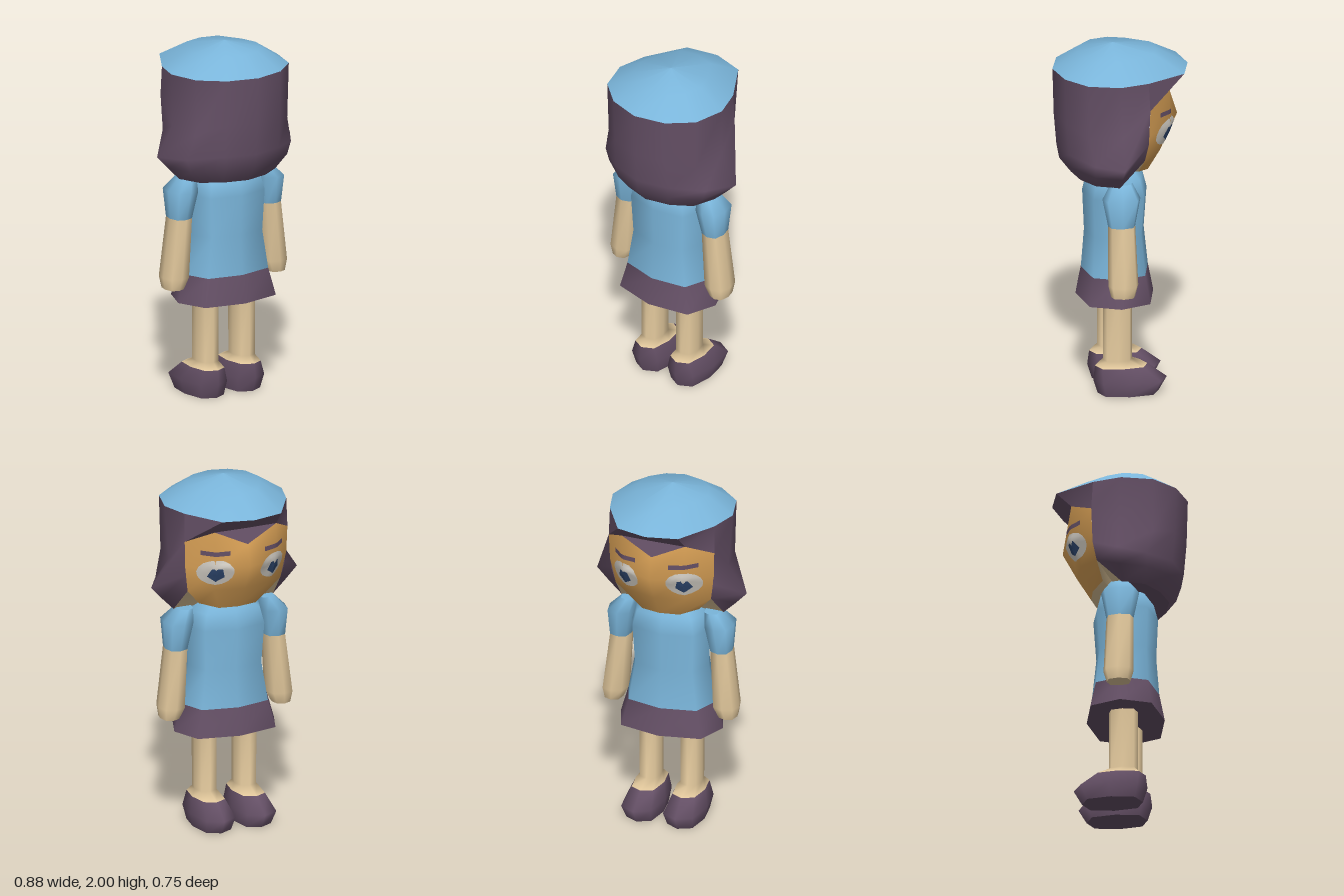
import * as THREE from 'three';
import { toCreasedNormals } from 'three/addons/utils/BufferGeometryUtils.js';

const paint = (name, color, side = THREE.FrontSide) => {
  const m = new THREE.MeshStandardMaterial({ color, side });
  m.name = name;
  return m;
};

// Surface through columns of points (top to bottom, counterclockwise seen from above)
function sheet(columns, closed = false) {
  const rows = columns[0].length, n = columns.length, index = [];
  for (let j = 0; j < (closed ? n : n - 1); j++) {
    for (let i = 0; i < rows - 1; i++) {
      const a = j * rows + i, b = ((j + 1) % n) * rows + i;
      index.push(a, a + 1, b, b, a + 1, b + 1);
    }
  }
  const g = new THREE.BufferGeometry();
  g.setAttribute('position', new THREE.Float32BufferAttribute(columns.flat(2), 3));
  g.setIndex(index);
  g.computeVertexNormals();
  return g;
}

// Triangles from a centre to a line of points
function fan(center, ring, closed = false) {
  const pts = closed ? [...ring, ring[0]] : ring;
  return sheet(pts.map((p) => [center, p])).toNonIndexed();
}

// Columns listed from the centre line outward, completed on the other side
const flip = ([x, y, z]) => [-x, y, z];
const mirrorCols = (half) => [...half.slice(1).reverse().map((c) => c.map(flip)), ...half];
const mirrorPts = (half) => [...half.slice(1).reverse().map(flip), ...half];

// Eight-sided boxy ring: y, half width, half depth, centre x, centre z
function ring([y, rx, rz, cx, cz]) {
  return Array.from({ length: 8 }, (_, k) => {
    const t = (k * Math.PI) / 4, f = k % 2 ? 1.1 : 1;
    return [cx + rx * f * Math.sin(t), y, cz + rz * f * Math.cos(t)];
  });
}

export function createModel() {
  const root = new THREE.Group();
  const D = THREE.DoubleSide;
  const blue = paint('blue cloth', 0x7ab5da);
  const purple = paint('dark purple', 0x655066, D);
  const skin = paint('skin', 0xe2c89c, D);
  const tan = paint('warm face', 0xdca357);
  const white = paint('eye white', 0xd8d3ca, D);
  const navy = paint('iris navy', 0x2f4870, D);

  const add = (name, geo, mat, parent = root) => {
    const mesh = new THREE.Mesh(geo, mat);
    mesh.name = name;
    parent.add(mesh);
    return mesh;
  };

  // Stack of rings from top to bottom with optional flat ends
  function loft(name, levels, mat, parent, top, bottom) {
    const rings = levels.map(ring);
    add(name, sheet(rings[0].map((_, k) => rings.map((r) => r[k])), true), mat, parent);
    const end = (l, r, label) => add(name + label, fan([l[3], l[0], l[4]], r, true), mat, parent);
    if (top) end(levels[0], rings[0], 'Top');
    if (bottom) end(levels.at(-1), [...rings.at(-1)].reverse(), 'Bottom');
  }

  // Torso and skirt
  const body = new THREE.Group();
  body.name = 'body';
  root.add(body);
  loft('shirt', [[1.285, 0.15, 0.1, 0, 0.02], [1.24, 0.205, 0.155, 0, 0.03], [1.15, 0.23, 0.178, 0, 0.03],
    [0.92, 0.215, 0.165, 0, 0.033], [0.7, 0.255, 0.185, 0, 0.03]], blue, body, true);
  loft('skirt', [[0.7, 0.255, 0.185, 0, 0.03], [0.545, 0.3, 0.215, 0, 0.03]], purple, body, false, true);
  loft('neck', [[1.33, 0.09, 0.08, 0, 0], [1.25, 0.09, 0.08, 0, 0]], tan, body);

  // Arms and legs
  for (const s of [1, -1]) {
    const side = s > 0 ? 'left' : 'right';
    const arm = new THREE.Group(), leg = new THREE.Group();
    arm.name = side + 'Arm';
    leg.name = side + 'Leg';
    root.add(arm, leg);
    const cuff = [1.035, 0.06, 0.075, s * 0.295, 0.03];
    loft('sleeve', [[1.265, 0.045, 0.06, s * 0.245, 0.025], [1.19, 0.08, 0.105, s * 0.285, 0.03], cuff], blue, arm, true);
    loft('forearm', [cuff, [0.7, 0.072, 0.083, s * 0.325, 0.025], [0.635, 0.05, 0.066, s * 0.335, 0.027]], skin, arm, false, true);
    const shoeTop = [0.16, 0.083, 0.145, s * 0.12, 0.008];
    loft('shin', [[0.6, 0.06, 0.08, s * 0.12, 0.03], [0.195, 0.058, 0.08, s * 0.12, 0.03], shoeTop], skin, leg);
    loft('shoe', [shoeTop, [0.08, 0.112, 0.203, s * 0.123, -0.04], [0, 0.095, 0.168, s * 0.12, -0.03]], purple, leg, false, true);
  }

  // Head
  const head = new THREE.Group();
  head.name = 'head';
  root.add(head);

  // Hair rim from the back centre round to the front centre
  const rim = [[0, 1.86, 0.372], [0.177, 1.86, 0.327], [0.307, 1.86, 0.215], [0.353, 1.86, 0.042],
    [0.307, 1.86, -0.118], [0.177, 1.86, -0.333], [0, 1.86, -0.375]];

  // Domed cap
  const crown = [0, 2, 0.04];
  const mid = ([x, , z]) => [x * 0.58, 1.955, 0.04 + (z - 0.04) * 0.58];
  const fullRim = [...mirrorPts(rim.slice(0, 6)), rim[6]];
  add('cap', sheet(fullRim.map((p) => [crown, mid(p), p]), true), blue, head);

  // Hair over the back and sides, flaring into two side locks
  const corner = [0.31, 1.7, -0.127], cheek = [0.28, 1.4, -0.1], tip = [0.3, 1.255, 0.04];
  const hair = [
    [rim[0], [0, 1.6, 0.365], [0, 1.42, 0.35], [0, 1.34, 0.335], [0, 1.255, 0.27]],
    [rim[1], [0.175, 1.6, 0.32], [0.18, 1.42, 0.305], [0.17, 1.34, 0.29], [0.14, 1.255, 0.235]],
    [rim[2], [0.3, 1.55, 0.21], [0.345, 1.4, 0.18], [0.32, 1.33, 0.18], [0.25, 1.255, 0.165]],
    [rim[3], [0.335, 1.56, 0.025], [0.44, 1.4, 0.03], [0.375, 1.33, 0.035], tip],
    [rim[4], corner, [0.3, 1.5, -0.12], cheek, tip],
  ];
  add('hair', sheet(mirrorCols(hair)), purple, head);
  const under = [0, 1.262, 0.04];
  add('hairUnderside', fan(under, mirrorPts(hair.slice(0, 4).map((c) => c[4])).reverse()), purple, head);

  // Fringe under the front of the cap, with a point in the middle
  const peak = [0.185, 1.775, -0.25], widow = [0, 1.69, -0.28];
  const fringe = [[rim[6], [0, 1.775, -0.253], widow], [rim[5], peak, peak], [rim[4], corner, corner]];
  add('fringe', toCreasedNormals(sheet(mirrorCols(fringe).reverse()), 0.7), purple, head);

  // Face and jaw
  const chin = [[0, 1.29, -0.16], [0.11, 1.29, -0.14], [0.2, 1.31, -0.075]];
  const faceCols = [
    [widow, [0, 1.57, -0.317], [0, 1.42, -0.238], chin[0]],
    [peak, [0.18, 1.57, -0.255], [0.165, 1.42, -0.2], chin[1]],
    [corner, [0.305, 1.55, -0.122], cheek, chin[2]],
  ];
  const face = add('face', sheet(mirrorCols(faceCols).reverse()), tan, head);
  add('jaw', fan(under, mirrorPts([...chin, cheek, tip])), skin, head);

  // Thin eye and brow plates laid on the face
  const ray = new THREE.Raycaster();
  const ahead = new THREE.Vector3(0, 0, 1);
  function lay(name, geo, mat, x, y, lift) {
    geo.rotateY(Math.PI).translate(x, y, 0);
    const p = geo.attributes.position;
    for (let i = 0; i < p.count; i++) {
      ray.set(new THREE.Vector3(p.getX(i), p.getY(i), -1), ahead);
      const hit = ray.intersectObject(face)[0];
      p.setZ(i, (hit ? hit.point.z : -0.2) - lift);
    }
    geo.computeVertexNormals();
    add(name, geo, mat, head);
  }
  for (const s of [1, -1]) {
    const side = s > 0 ? 'left' : 'right';
    lay(side + 'Eye', new THREE.RingGeometry(0.001, 1, 16, 4).scale(0.09, 0.077, 1), white, s * 0.17, 1.535, 0.005);
    lay(side + 'Iris', new THREE.RingGeometry(0.001, 1, 5, 3, -Math.PI / 2).scale(0.045, 0.045, 1), navy, s * 0.172, 1.525, 0.009);
    lay(side + 'Brow', new THREE.PlaneGeometry(0.145, 0.026, 8, 2), purple, s * 0.172, 1.648, 0.005);
  }

  return root;
}
